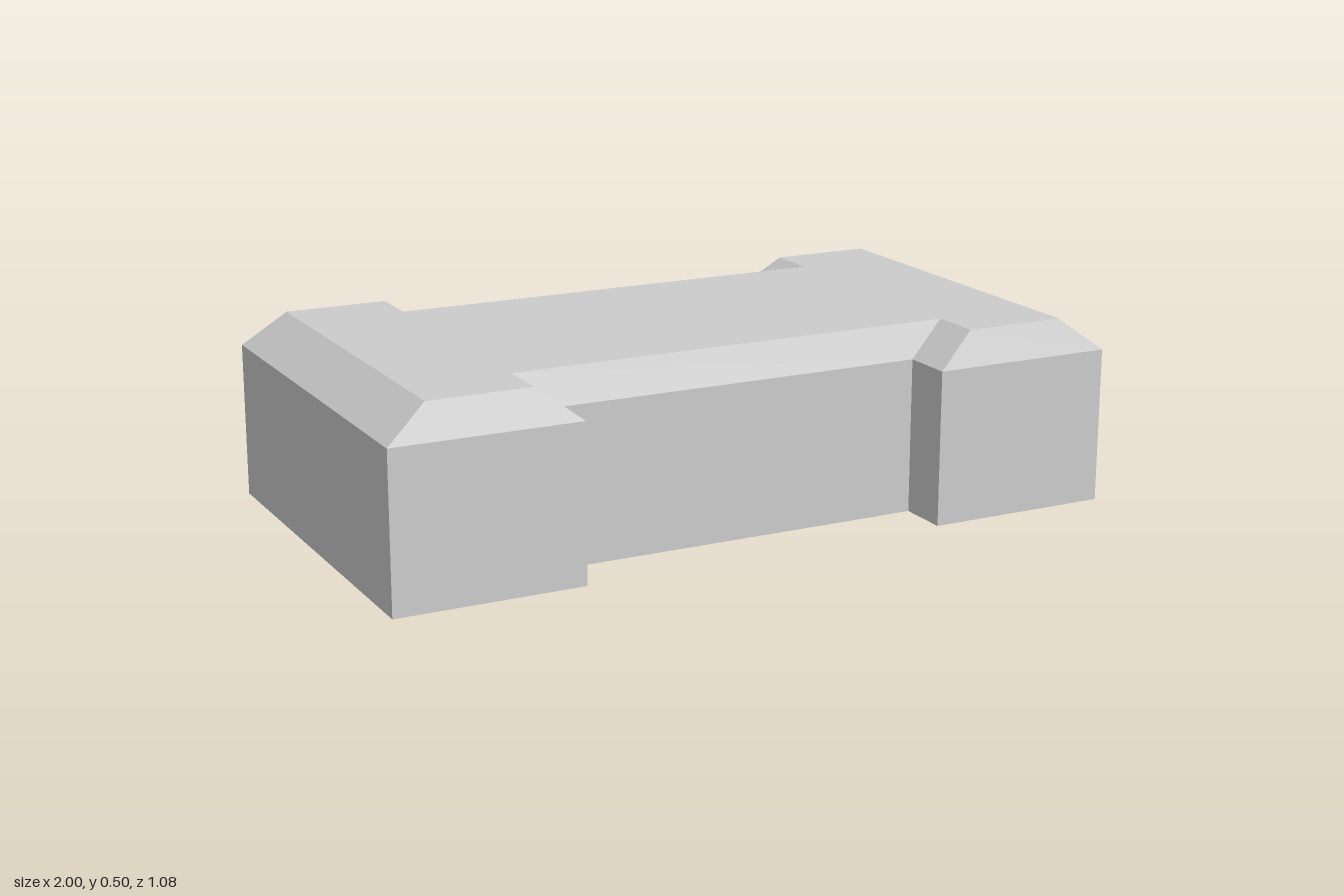
import * as THREE from 'three';

// I-shaped outline in plan as [x, z], made from one corner; dx, dz pull the edges inwards
function outline(dx, dz) {
  const corner = [[1 - dx, 0.54 - dz], [0.5 + dx, 0.54 - dz], [0.5 + dx, 0.4 - dz]];
  const front = [...corner, ...corner.map(([x, z]) => [-x, z]).reverse()];
  return [...front, ...front.map(([x, z]) => [x, -z]).reverse()];
}

// Stacks rings of equal point count into a closed, flat-faced solid
function loft(rings) {
  const pos = [];
  const tri = (...points) => points.forEach((p) => pos.push(...p));
  const levels = rings.map(({ y, points }) => points.map(([x, z]) => [x, y, z]));

  // Sides
  for (let k = 0; k < levels.length - 1; k++) {
    const lo = levels[k], hi = levels[k + 1];
    lo.forEach((a, i) => {
      const j = (i + 1) % lo.length;
      tri(a, hi[i], hi[j]);
      tri(a, hi[j], lo[j]);
    });
  }

  // Caps, each turned to face outwards
  const cap = (ring, up) => {
    const flat = ring.map(([x, , z]) => new THREE.Vector2(x, z));
    for (const [i, j, k] of THREE.ShapeUtils.triangulateShape(flat, [])) {
      const cross = flat[j].clone().sub(flat[i]).cross(flat[k].clone().sub(flat[i]));
      if ((cross < 0) === up) tri(ring[i], ring[j], ring[k]);
      else tri(ring[i], ring[k], ring[j]);
    }
  };
  cap(levels[0], false);
  cap(levels[levels.length - 1], true);

  const geometry = new THREE.BufferGeometry();
  geometry.setAttribute('position', new THREE.Float32BufferAttribute(pos, 3));
  geometry.computeVertexNormals();
  return geometry;
}

export function createModel() {
  const group = new THREE.Group();
  group.name = 'bevelledBlock';

  // Straight walls up to the bevel, then a narrower flat top
  const body = new THREE.Mesh(
    loft([
      { y: 0, points: outline(0, 0) },
      { y: 0.413, points: outline(0, 0) },
      { y: 0.5, points: outline(0.112, 0.044) },
    ]),
    new THREE.MeshStandardMaterial({ color: 0xcccccc, flatShading: true }),
  );
  body.name = 'body';
  group.add(body);
  return group;
}
